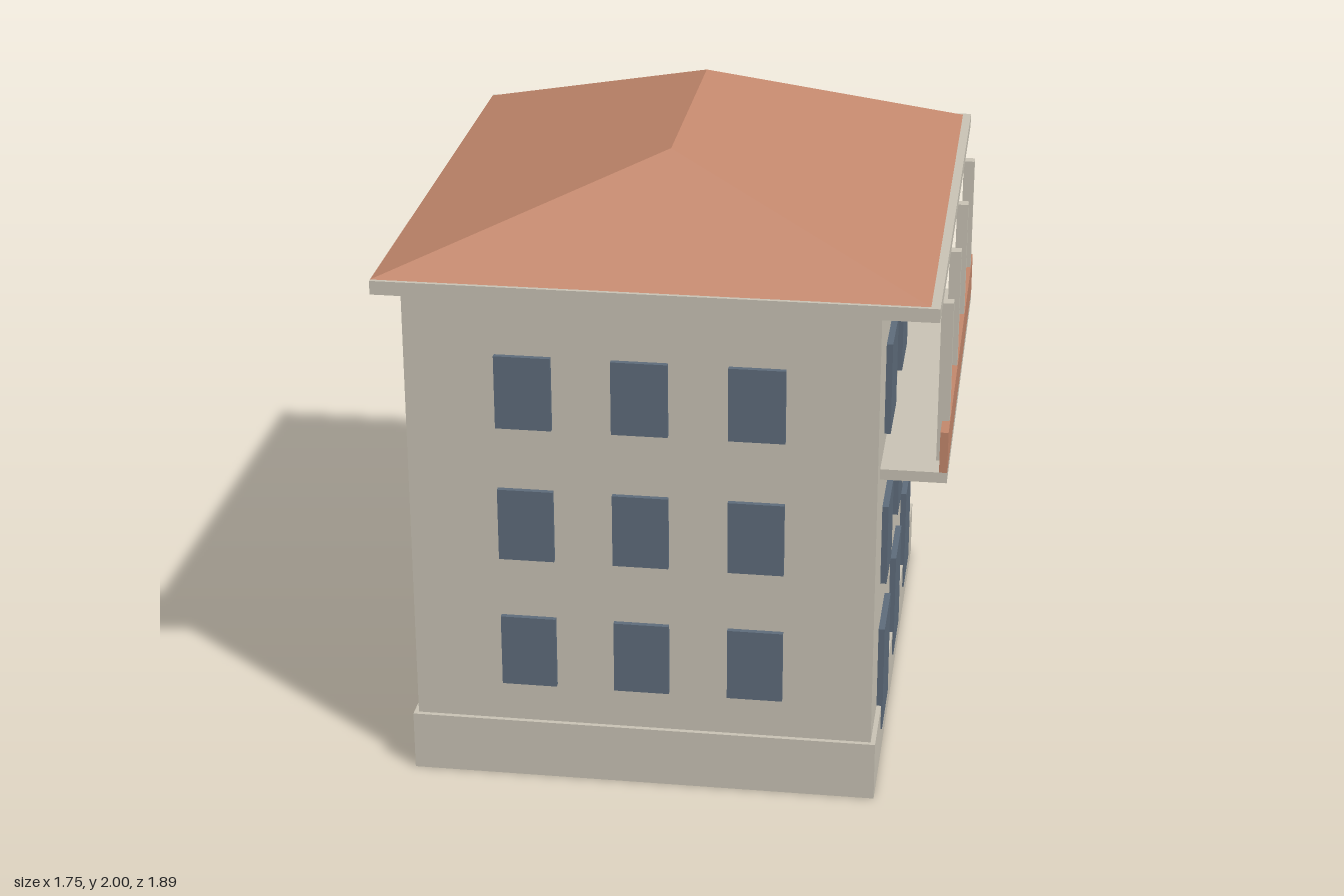
import * as THREE from 'three';

export function createModel() {
  const model = new THREE.Group();
  model.name = 'house';
  const mat = (name, color, side = THREE.FrontSide) => {
    const m = new THREE.MeshStandardMaterial({ color, side });
    m.name = name;
    return m;
  };
  const stone = mat('warm grey plaster', 0xcac4b6);
  const tile = mat('terracotta', 0xc4886d);
  const glass = mat('slate blue glass', 0x5f6d7c);

  // Box given by its extents on each axis
  const box = (name, material, [x0, x1], [y0, y1], [z0, z1], parent = model) => {
    const mesh = new THREE.Mesh(new THREE.BoxGeometry(x1 - x0, y1 - y0, z1 - z0), material);
    mesh.position.set((x0 + x1) / 2, (y0 + y1) / 2, (z0 + z1) / 2);
    mesh.name = name;
    parent.add(mesh);
  };
  const group = (name) => {
    const g = new THREE.Group();
    g.name = name;
    model.add(g);
    return g;
  };

  // Main masses
  box('plinth', stone, [-0.815, 0.683], [0, 0.197], [-0.895, 0.895]);
  box('walls', stone, [-0.8, 0.668], [0.197, 1.67], [-0.88, 0.88]);
  box('eaves', stone, [-0.88, 0.843], [1.67, 1.714], [-0.943, 0.943]);

  // Hipped roof: a box whose top is drawn in to the ridge line
  const roofGeo = new THREE.BoxGeometry(1.695, 0.286, 1.86).toNonIndexed();
  const p = roofGeo.attributes.position;
  for (let i = 0; i < p.count; i++) {
    if (p.getY(i) > 0) {
      p.setX(i, 0);
      p.setZ(i, Math.sign(p.getZ(i)) * 0.42);
    }
  }
  roofGeo.computeVertexNormals();
  const roof = new THREE.Mesh(roofGeo, tile);
  roof.position.set(-0.0325, 1.857, 0);
  roof.name = 'roof';
  model.add(roof);

  // Front and back windows, three by three
  for (const side of [1, -1]) {
    const windows = group(side > 0 ? 'frontWindows' : 'backWindows');
    for (const y of [0.333, 0.778, 1.228]) {
      for (const x of [-0.428, -0.066, 0.296]) {
        const z = side > 0 ? [0.875, 0.897] : [-0.897, -0.875];
        box('window', glass, [x - 0.088, x + 0.088], [y, y + 0.241], z, windows);
      }
    }
  }

  // Balcony side: tall doors below, windows above, balcony doors on top
  const sideWindows = group('sideWindows');
  for (const [y0, y1, half] of [[0.11, 0.478, 0.128], [0.635, 0.907, 0.112], [1.165, 1.467, 0.121]]) {
    for (const z of [-0.508, 0.003, 0.514]) {
      box('window', glass, [0.66, 0.688], [y0, y1], [z - half, z + half], sideWindows);
    }
  }

  // Balcony with parapet and posts
  const balcony = group('balcony');
  box('balconySlab', stone, [0.66, 0.874], [1.075, 1.11], [-0.782, 0.782], balcony);
  box('parapet', tile, [0.849, 0.874], [1.11, 1.245], [-0.782, 0.782], balcony);
  for (const z of [-0.67, -0.222, 0.226, 0.674]) {
    box('post', stone, [0.835, 0.872], [1.11, 1.635], [z - 0.019, z + 0.019], balcony);
  }
  return model;
}
